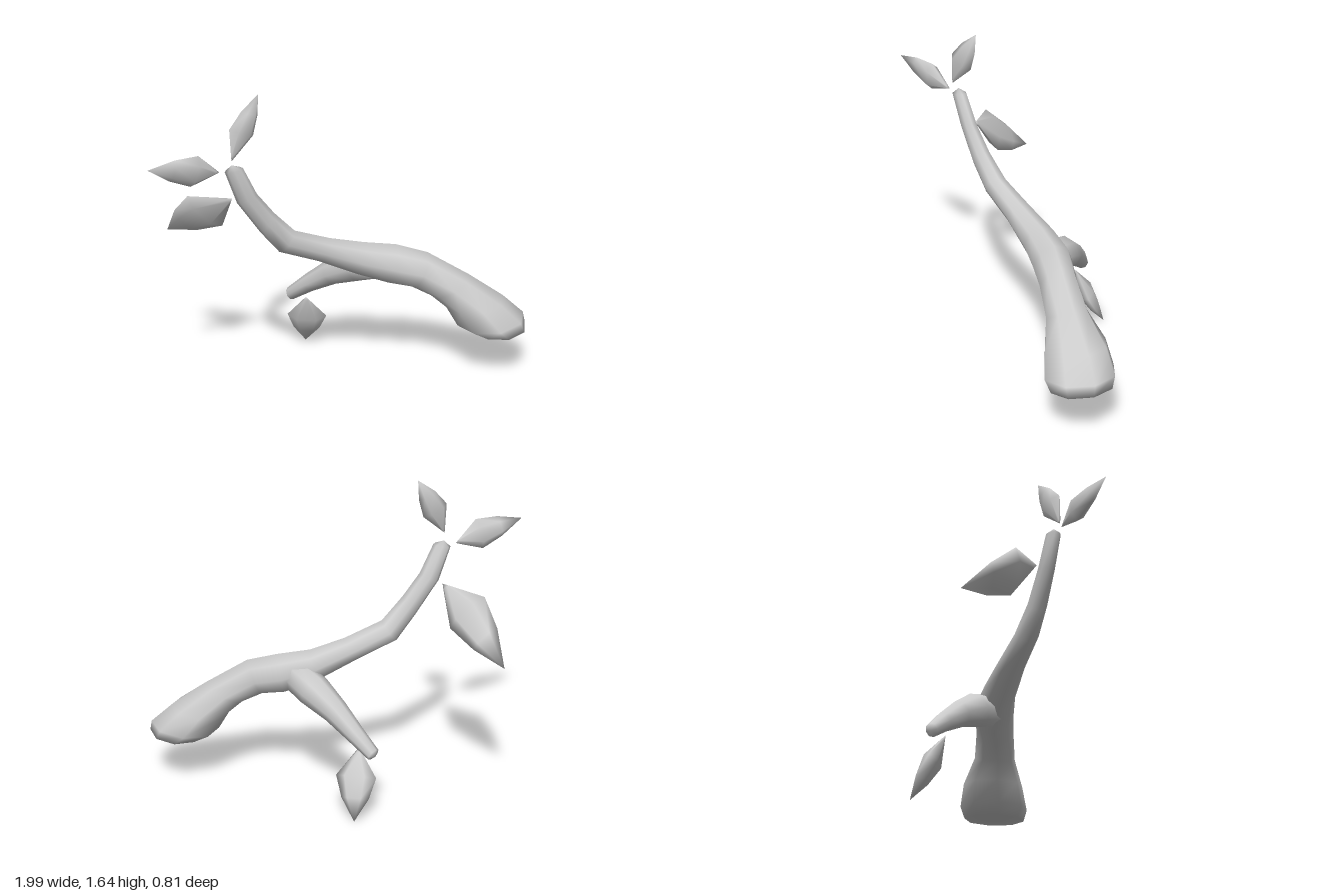
import * as THREE from 'three';

const V = (a) => new THREE.Vector3(...a);
const bark = new THREE.MeshStandardMaterial({ color: 0xcccccc });
bark.name = 'paleGrey';

// Skin a closed body over elliptical rings { c, u, v } (centre and two half axes, u x v along the body).
function loft(name, rings, sides, start, end) {
  const pos = [], index = [];
  for (const { c, u, v } of rings) {
    for (let i = 0; i < sides; i++) {
      const a = (i / sides) * Math.PI * 2;
      pos.push(...c.clone().addScaledVector(u, Math.cos(a)).addScaledVector(v, Math.sin(a)).toArray());
    }
  }
  const last = (rings.length - 1) * sides;
  const s = rings.length * sides, e = s + 1;
  pos.push(...start.toArray(), ...end.toArray());
  for (let i = 0; i < sides; i++) {
    const j = (i + 1) % sides;
    for (let r = 0; r < last; r += sides) {
      index.push(r + i, r + j, r + sides + j, r + i, r + sides + j, r + sides + i);
    }
    index.push(s, j, i, e, last + i, last + j);
  }
  const geo = new THREE.BufferGeometry();
  geo.setAttribute('position', new THREE.Float32BufferAttribute(pos, 3));
  geo.setIndex(index);
  geo.computeVertexNormals();
  const mesh = new THREE.Mesh(geo, bark);
  mesh.name = name;
  return mesh;
}

// Main limb: each row is upper x, y, lower x, y, front z, back z.
function mainBranch() {
  const rows = [
    [0.99, 0.275, 0.71, 0.245, 0.33, 0.0],
    [0.98, 0.33, 0.62, 0.285, 0.34, -0.03],
    [0.87, 0.43, 0.56, 0.39, 0.3, -0.025],
    [0.68, 0.565, 0.48, 0.46, 0.235, 0.015],
    [0.46, 0.7, 0.38, 0.51, 0.2, 0.0],
    [0.3, 0.745, 0.26, 0.53, 0.175, -0.04],
    [0.13, 0.77, 0.1, 0.59, 0.155, -0.03],
    [-0.05, 0.82, -0.12, 0.7, 0.17, 0.02],
    [-0.25, 0.9, -0.33, 0.79, 0.205, 0.08],
    [-0.36, 1.02, -0.43, 0.92, 0.23, 0.13],
    [-0.45, 1.14, -0.55, 1.1, 0.25, 0.165],
    [-0.52, 1.29, -0.61, 1.275, 0.27, 0.195],
  ];
  const rings = rows.map(([tx, ty, bx, by, f, b]) => ({
    c: V([(tx + bx) / 2, (ty + by) / 2, (f + b) / 2]),
    u: V([(tx - bx) / 2, (ty - by) / 2, 0]),
    v: V([0, 0, (b - f) / 2]),
  }));
  return loft('mainBranch', rings, 8, V([0.85, 0.25, 0.165]), V([-0.575, 1.308, 0.233]));
}

// Side twig: round rings x, y, z, radius, starting inside the main limb.
function sideTwig() {
  const rows = [
    [0.22, 0.645, 0.06, 0.085],
    [0.11, 0.59, -0.06, 0.09],
    [0.0, 0.515, -0.16, 0.068],
    [-0.1, 0.425, -0.25, 0.05],
    [-0.19, 0.34, -0.318, 0.036],
  ];
  const d = V([-0.41, -0.305, -0.378]).normalize();
  const side = new THREE.Vector3(0, 1, 0).cross(d).normalize();
  const up = d.clone().cross(side);
  const rings = rows.map(([x, y, z, r]) => ({
    c: V([x, y, z]),
    u: side.clone().multiplyScalar(r),
    v: up.clone().multiplyScalar(r),
  }));
  return loft('sideTwig', rings, 8, V([0.23, 0.65, 0.07]), V([-0.2, 0.332, -0.326]));
}

// Pointed leaf from stem to tip, widest around the middle.
function leaf(name, stem, mid, tip, width, thick) {
  const [a, m, b, w] = [stem, mid, tip, width].map(V);
  const d = b.clone().sub(a).normalize();
  w.addScaledVector(d, -0.5 * w.dot(d));
  const n = d.clone().cross(w).normalize().multiplyScalar(thick);
  const ring = (c, k) => ({ c, u: w.clone().multiplyScalar(k), v: n.clone().multiplyScalar(k) });
  const rings = [
    ring(a.clone().lerp(m, 0.12), 0.15),
    ring(a.clone().lerp(m, 0.85), 1),
    ring(m.clone().lerp(b, 0.42), 0.68),
  ];
  return loft(name, rings, 6, a, b);
}

export function createModel() {
  const group = new THREE.Group();
  group.name = 'branch';
  group.add(
    mainBranch(),
    sideTwig(),
    leaf('upperLeaf', [-0.58, 1.34, 0.265], [-0.515, 1.495, 0.228], [-0.43, 1.645, 0.185], [0.066, -0.02, -0.03], 0.036),
    leaf('outerLeaf', [-0.64, 1.285, 0.258], [-0.79, 1.325, 0.32], [-1.0, 1.375, 0.405], [0.02, 0.079, 0.005], 0.042),
    leaf('hangingLeaf', [-0.565, 1.1, 0.145], [-0.705, 0.97, -0.02], [-0.85, 0.79, -0.275], [-0.085, 0.088, 0], 0.042),
    leaf('twigLeaf', [-0.12, 0.345, -0.24], [-0.1, 0.185, -0.312], [-0.09, 0.005, -0.408], [0.102, 0, 0.03], 0.046),
  );
  return group;
}
